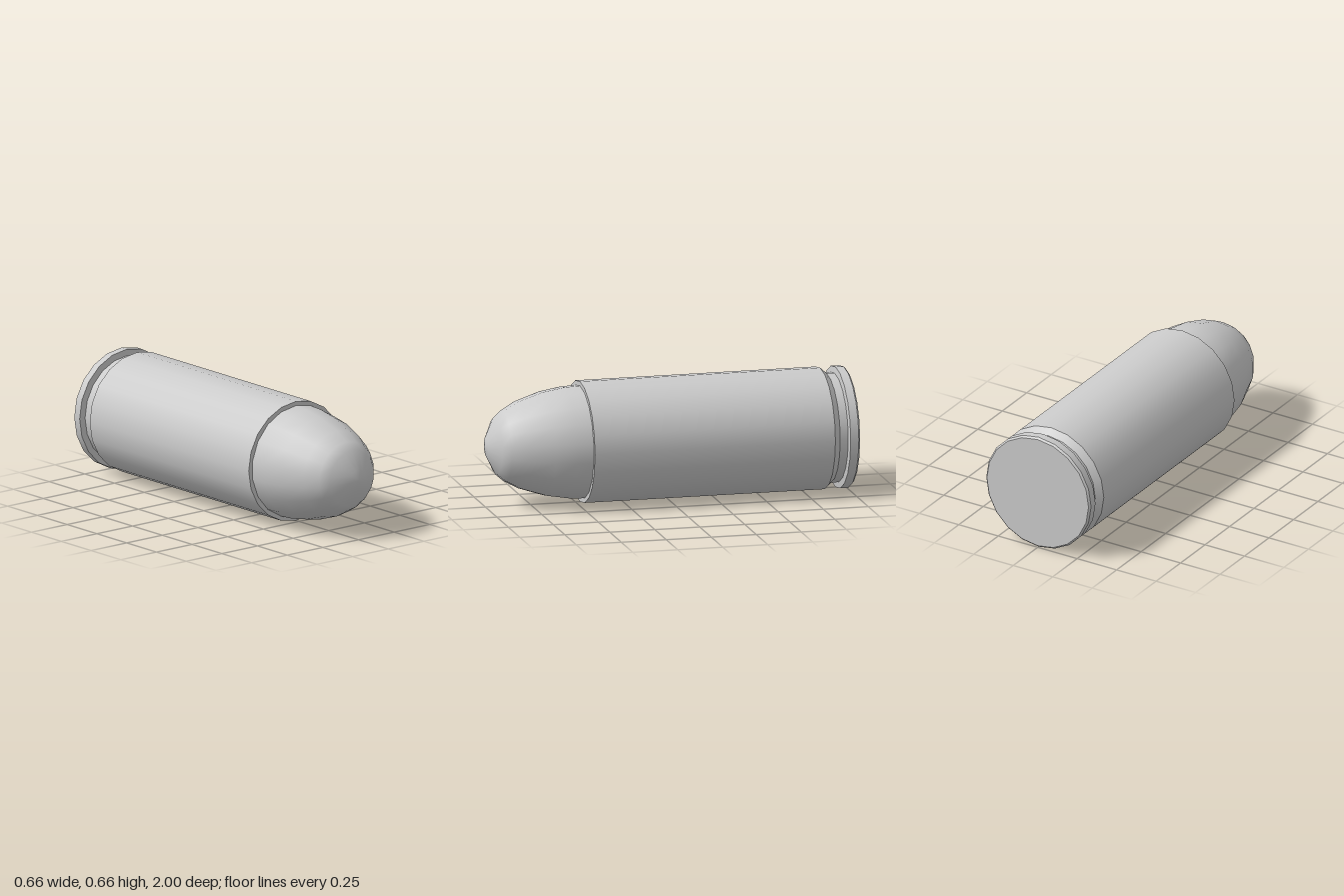
import * as THREE from 'three';

const material = new THREE.MeshStandardMaterial({ color: 0xcccccc });
const AXIS_Y = 0.333;

// Turned part along z. Profile points are [z, radius] from back to front;
// a repeated point makes a sharp edge.
function turned(name, profile, sides) {
  const points = profile.map(([z, r]) => new THREE.Vector2(r, z));
  const geometry = new THREE.LatheGeometry(points, sides);
  geometry.rotateX(Math.PI / 2);
  const mesh = new THREE.Mesh(geometry, material);
  mesh.name = name;
  mesh.position.y = AXIS_Y;
  return mesh;
}

// Doubles the inner points so that every profile edge is sharp
const sharp = (profile) =>
  profile.flatMap((p, i) => (i === 0 || i === profile.length - 1 ? [p] : [p, p]));

export function createModel() {
  const model = new THREE.Group();
  model.name = 'cartridge';

  // Flat base with its extractor rim
  model.add(turned('rim', sharp([
    [-1, 0], [-1, 0.322], [-0.99, 0.332], [-0.945, 0.332], [-0.94, 0.295],
  ]), 20));

  // Groove between the rim and the case, with the chamfer up to the case wall
  model.add(turned('extractorGroove', sharp([
    [-0.94, 0.298], [-0.895, 0.3], [-0.86, 0.332],
  ]), 20));

  // Straight case wall and the thin lip of its mouth
  model.add(turned('caseBody', sharp([
    [-0.86, 0.332], [0.475, 0.332], [0.475, 0.3],
  ]), 20));

  // Rounded nose with a small blunt tip
  model.add(turned('noseTip', [
    [0.46, 0.309], [0.56, 0.304], [0.68, 0.284], [0.82, 0.238],
    [0.9, 0.193], [0.945, 0.155], [0.995, 0.055], [1, 0],
  ], 18));

  return model;
}
